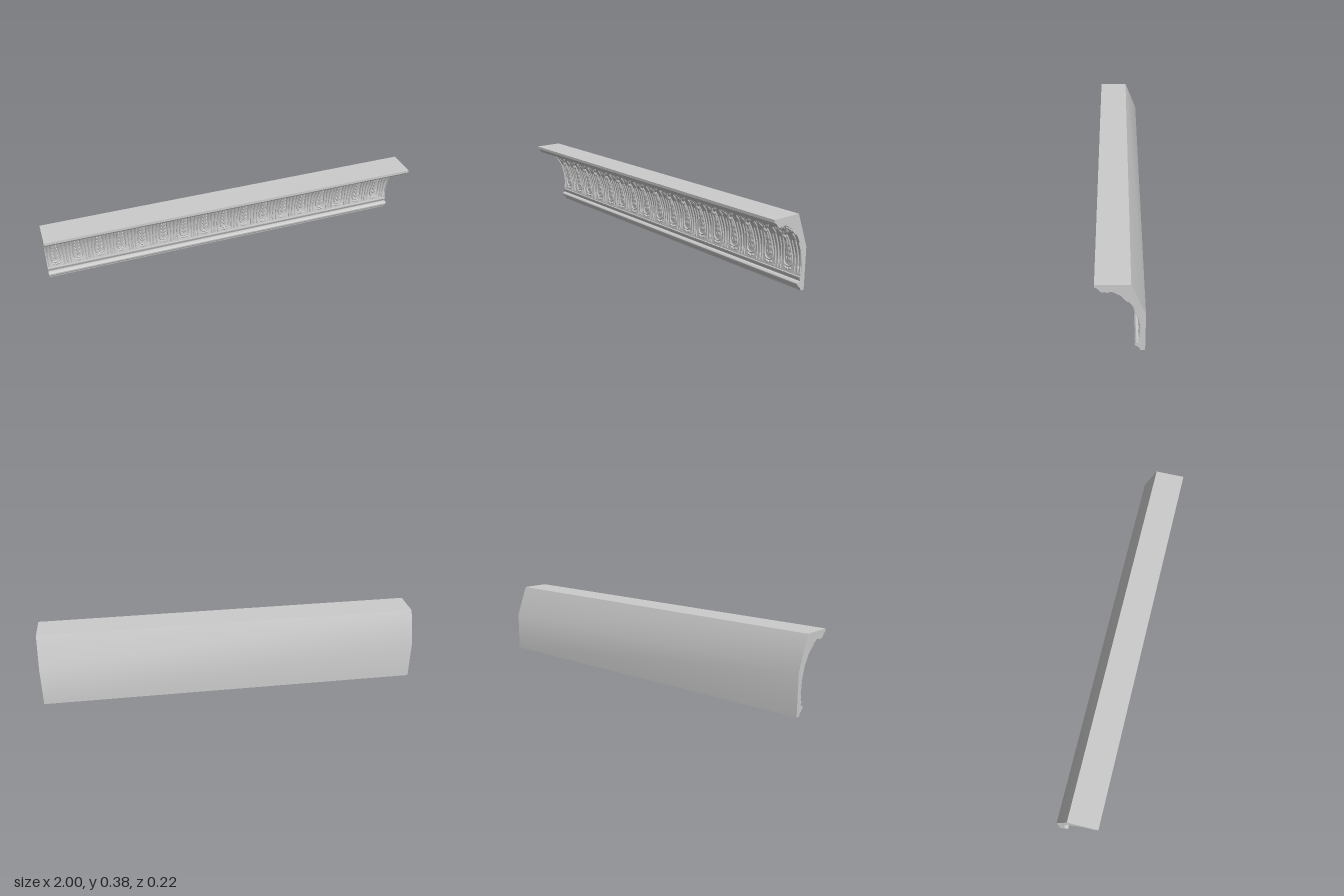
import * as THREE from 'three';
import { mergeGeometries, toCreasedNormals } from 'three/addons/utils/BufferGeometryUtils.js';

const material = new THREE.MeshStandardMaterial({ color: 0xcccccc });
const SPACING = 0.1168, OFFSET = -0.015;

// Cove curve as (z, y), from the lower fillet up to the cornice lip
const cove = new THREE.SplineCurve([
  [-0.083, 0.07], [-0.088, 0.12], [-0.083, 0.175], [-0.071, 0.218],
  [-0.056, 0.252], [-0.032, 0.287], [-0.005, 0.313], [0.035, 0.337],
].map(([z, y]) => new THREE.Vector2(z, y)));
const coveLength = cove.getLength();

// Full moulding section, extruded along x
function mouldingGeometry() {
  const s = new THREE.Shape();
  s.moveTo(-0.11, 0);
  s.lineTo(-0.088, 0.002);
  s.quadraticCurveTo(-0.087, 0.016, -0.076, 0.02);
  s.lineTo(-0.074, 0.026);
  s.absarc(-0.074, 0.037, 0.011, -Math.PI / 2, Math.PI / 2, false); // lower bead
  s.lineTo(-0.081, 0.049);
  s.quadraticCurveTo(-0.082, 0.056, -0.076, 0.06);
  s.lineTo(-0.075, 0.07);
  for (const p of cove.getSpacedPoints(28)) s.lineTo(p.x, p.y);
  s.lineTo(0.04, 0.339);
  s.lineTo(0.045, 0.335);
  s.lineTo(0.05, 0.338);
  s.lineTo(0.052, 0.333);
  s.lineTo(0.06, 0.333);
  s.lineTo(0.063, 0.338);
  s.bezierCurveTo(0.068, 0.333, 0.076, 0.333, 0.081, 0.336); // upper ogee
  s.bezierCurveTo(0.092, 0.342, 0.092, 0.357, 0.11, 0.362);
  s.lineTo(0.11, 0.376);
  s.lineTo(-0.045, 0.376);
  s.lineTo(-0.11, 0.21);
  s.closePath();
  const g = new THREE.ExtrudeGeometry(s, { depth: 2, bevelEnabled: false, curveSegments: 8 });
  g.rotateY(-Math.PI / 2).translate(1, 0, 0);
  return toCreasedNormals(g, 0.6);
}

// Bends flat relief (x across, y along the cove, z raised) onto the cove at x0
function bend(flat, x0) {
  const g = flat.clone(), p = g.attributes.position;
  for (let i = 0; i < p.count; i++) {
    const t = THREE.MathUtils.clamp(p.getY(i) / coveLength, 0, 1);
    const c = cove.getPointAt(t), d = cove.getTangentAt(t), h = p.getZ(i);
    const x = THREE.MathUtils.clamp(p.getX(i) + x0, -1, 1);
    p.setXYZ(i, x, c.y - d.x * h, c.x + d.y * h);
  }
  g.computeVertexNormals();
  return g;
}

// Half-sunk oval lobe: centre, half width, half length, height, tilt
function lobe(x, y, w, l, h, tilt = 0) {
  return new THREE.SphereGeometry(1, 10, 10).scale(w, l, h).rotateZ(tilt).translate(x, y, 0);
}

// Raised strand through flat points
function strand(points, r, closed = false, segments = 20) {
  const curve = new THREE.CatmullRomCurve3(points.map(([x, y]) => new THREE.Vector3(x, y, 0.002)), closed);
  return new THREE.TubeGeometry(curve, segments, r, 6, closed);
}

const mirrored = (make) => [make(1), make(-1)];

export function createModel() {
  const group = new THREE.Group();
  group.name = 'carvedCornice';
  const add = (name, geometry) => {
    const mesh = new THREE.Mesh(geometry, material);
    mesh.name = name;
    group.add(mesh);
  };
  add('moulding', mouldingGeometry());

  // Long hanging loop with a rounded foot
  const loop = mergeGeometries([
    strand([[0, 0.03], [0.019, 0.038], [0.025, 0.062], [0.021, 0.11], [0.017, 0.17], [0.011, 0.205],
      [-0.011, 0.205], [-0.017, 0.17], [-0.021, 0.11], [-0.025, 0.062], [-0.019, 0.038]], 0.0042, true, 44),
    ...mirrored((m) => lobe(0.013 * m, 0.019, 0.009, 0.006, 0.006, 0.4 * m)),
    lobe(0, 0.015, 0.006, 0.007, 0.006),
  ]);

  // Leaf lying inside the loop, with lobed edges
  const innerLeaf = mergeGeometries([
    lobe(0, 0.115, 0.009, 0.075, 0.007),
    ...[0.06, 0.085, 0.11, 0.135].flatMap((y) =>
      mirrored((m) => lobe(0.008 * m, y, 0.006, 0.013, 0.005, -0.4 * m))),
  ]);

  // Spreading leaf at the head of the loop, its tip curling forward
  const headLeaf = mergeGeometries([
    lobe(0, 0.185, 0.013, 0.014, 0.012),
    lobe(0, 0.243, 0.009, 0.046, 0.008),
    ...mirrored((m) => lobe(0.016 * m, 0.212, 0.008, 0.022, 0.008, -0.6 * m)),
    ...mirrored((m) => lobe(0.018 * m, 0.242, 0.008, 0.022, 0.008, -0.5 * m)),
    ...mirrored((m) => lobe(0.016 * m, 0.27, 0.007, 0.02, 0.007, -0.3 * m)),
  ]);

  // Flutes and darts filling the gap between loops
  const dart = mergeGeometries([
    strand([[0, 0.01], [0, 0.08], [0, 0.15], [0, 0.205]], 0.004),
    lobe(0, 0.2, 0.008, 0.024, 0.007),
    lobe(0, 0.03, 0.007, 0.02, 0.006),
    ...mirrored((m) => strand([[0.018 * m, 0.008], [0.017 * m, 0.07], [0.021 * m, 0.13], [0.021 * m, 0.175]], 0.0035)),
    strand([[-0.024, 0.225], [-0.018, 0.26], [0, 0.28], [0.018, 0.26], [0.024, 0.225]], 0.004),
    lobe(0, 0.25, 0.006, 0.017, 0.006),
  ]);

  for (let k = -8; k <= 8; k++) {
    const x = OFFSET + k * SPACING;
    add('hangingLoop', bend(loop, x));
    add('innerLeaf', bend(innerLeaf, x));
    add('headLeaf', bend(headLeaf, x));
  }
  for (let k = -9; k <= 8; k++) add('dart', bend(dart, OFFSET + (k + 0.5) * SPACING));
  return group;
}
